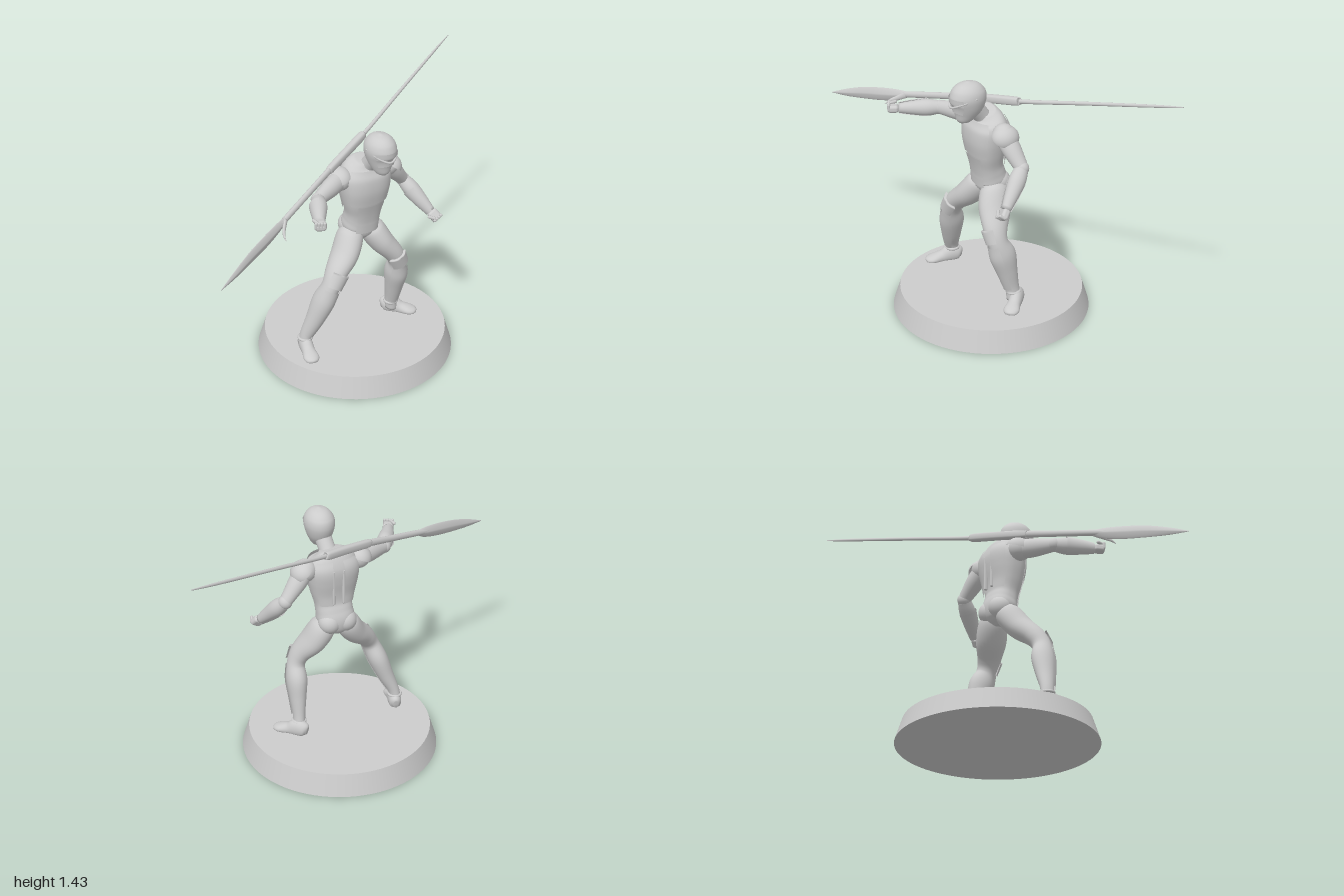
import * as THREE from 'three';
import { RoundedBoxGeometry } from 'three/addons/geometries/RoundedBoxGeometry.js';

const V = (x, y, z) => new THREE.Vector3(x, y, z);
const mat = new THREE.MeshStandardMaterial({ color: 0xcccccc });
const shellMat = new THREE.MeshStandardMaterial({ color: 0xcccccc, side: THREE.DoubleSide });
const FRONT = V(0, 0, 1), UP = V(0, 1, 0);

// Smooth loft through rows [x, y, z, halfSide, halfFront]; arc < 2PI gives an open shell centred on angle `mid`
function loft(rows, { face = FRONT, seg = 28, steps = 6, pow = 1, arc = 0, mid = 0, grow = 0, floor = -1 } = {}) {
  const path = new THREE.CatmullRomCurve3(rows.map(r => V(r[0], r[1], r[2])));
  const size = new THREE.CatmullRomCurve3(rows.map(r => V(r[3], r[4], 0)));
  path.curveType = size.curveType = 'catmullrom';
  const n = (rows.length - 1) * steps, cols = arc ? seg + 1 : seg;
  const pos = [], idx = [];
  const bend = v => Math.sign(v) * Math.abs(v) ** pow;
  for (let i = 0; i <= n; i++) {
    const c = path.getPoint(i / n), t = path.getTangent(i / n), s = size.getPoint(i / n);
    const side = t.clone().cross(face).normalize(), front = side.clone().cross(t);
    for (let j = 0; j < cols; j++) {
      const a = arc ? mid - arc / 2 + arc * j / seg : 2 * Math.PI * j / seg;
      const p = c.clone()
        .addScaledVector(front, (Math.max(s.y, 0.001) + grow) * bend(Math.cos(a)))
        .addScaledVector(side, (Math.max(s.x, 0.001) + grow) * bend(Math.sin(a)));
      pos.push(p.x, Math.max(p.y, floor), p.z);
    }
  }
  for (let i = 0; i < n; i++) for (let j = 0; j < seg; j++) {
    const k = (j + 1) % cols, a = i * cols, b = a + cols;
    idx.push(a + j, a + k, b + j, a + k, b + k, b + j);
  }
  if (!arc) { // end caps
    const c0 = pos.length / 3, p0 = path.getPoint(0), p1 = path.getPoint(1);
    pos.push(p0.x, Math.max(p0.y, floor), p0.z, p1.x, Math.max(p1.y, floor), p1.z);
    for (let j = 0; j < seg; j++) {
      const k = (j + 1) % seg;
      idx.push(c0, k, j, c0 + 1, n * cols + j, n * cols + k);
    }
  }
  const g = new THREE.BufferGeometry();
  g.setAttribute('position', new THREE.Float32BufferAttribute(pos, 3));
  g.setIndex(idx);
  g.computeVertexNormals();
  return g;
}

export function createModel() {
  const model = new THREE.Group();
  const add = (name, geo, m = mat, parent = model) => {
    const mesh = new THREE.Mesh(geo, m);
    mesh.name = name;
    parent.add(mesh);
    return mesh;
  };
  const plate = (name, rows, opts) => add(name, loft(rows, { grow: 0.006, ...opts }), shellMat);

  // Display base
  add('base', new THREE.CylinderGeometry(0.5, 0.538, 0.12, 80)).position.set(0.045, 0.06, 0);

  // Torso, from crotch to collar
  const torso = [
    [0.06, 0.695, 0.03, 0.02, 0.03], [0.06, 0.73, 0.025, 0.06, 0.07], [0.06, 0.78, 0.02, 0.1, 0.085],
    [0.063, 0.83, 0.03, 0.1, 0.08], [0.065, 0.88, 0.042, 0.102, 0.076], [0.066, 0.95, 0.05, 0.12, 0.087],
    [0.067, 1.03, 0.05, 0.136, 0.1], [0.068, 1.1, 0.045, 0.14, 0.1], [0.07, 1.15, 0.045, 0.115, 0.08],
    [0.075, 1.185, 0.055, 0.055, 0.05]];
  add('torso', loft(torso, { seg: 40, pow: 0.85 }));
  plate('chestPlate', torso.slice(5, 9), { arc: 2.1, pow: 0.85, grow: 0.008 });
  plate('abdomenPlate', torso.slice(2, 6), { arc: 1.3, pow: 0.85 });
  for (const s of [-1, 1]) {
    plate('backPlate', torso.slice(4, 9), { arc: 0.75, mid: Math.PI + s * 0.55, pow: 0.85, grow: 0.01 });
    const slot = add('backRib', new RoundedBoxGeometry(0.014, 0.2, 0.02, 3, 0.006));
    slot.position.set(0.067 + s * 0.028, 1.0, -0.046);
    const glute = add('glute', new THREE.SphereGeometry(0.062, 24, 16));
    glute.position.set(0.06 + s * 0.045, 0.775, -0.01);
  }

  // Neck and helmet
  add('neck', loft([[0.075, 1.13, 0.06, 0.055, 0.05], [0.08, 1.17, 0.085, 0.045, 0.045], [0.088, 1.23, 0.135, 0.046, 0.05]]));
  const head = [
    [0.09, 1.15, 0.205, 0.008, 0.01], [0.09, 1.165, 0.2, 0.034, 0.035], [0.09, 1.2, 0.184, 0.055, 0.064],
    [0.091, 1.245, 0.17, 0.073, 0.09], [0.091, 1.29, 0.165, 0.081, 0.1], [0.091, 1.33, 0.165, 0.072, 0.088],
    [0.091, 1.36, 0.165, 0.045, 0.056], [0.091, 1.374, 0.165, 0.006, 0.008]];
  add('helmet', loft(head, { seg: 36 }));
  plate('visor', head.slice(2, 5), { arc: 1.9, grow: 0.004 });
  const brow = new THREE.CatmullRomCurve3([V(0.013, 1.3, 0.155), V(0.035, 1.275, 0.235),
    V(0.091, 1.25, 0.266), V(0.147, 1.275, 0.235), V(0.169, 1.3, 0.155)]);
  add('browRidge', new THREE.TubeGeometry(brow, 30, 0.006, 8));

  // Legs, thigh to ankle
  const legs = {
    left: [[0.105, 0.78, 0.025, 0.045, 0.05], [0.13, 0.73, 0.03, 0.068, 0.08], [0.175, 0.65, 0.055, 0.066, 0.088],
      [0.235, 0.57, 0.085, 0.054, 0.068], [0.265, 0.5, 0.085, 0.048, 0.055], [0.272, 0.42, 0.057, 0.056, 0.07],
      [0.276, 0.32, 0.032, 0.045, 0.055], [0.28, 0.22, 0.008, 0.033, 0.04], [0.285, 0.15, -0.003, 0.033, 0.042]],
    right: [[0.015, 0.78, 0.025, 0.045, 0.05], [-0.01, 0.73, 0.035, 0.068, 0.08], [-0.065, 0.65, 0.07, 0.066, 0.085],
      [-0.14, 0.58, 0.105, 0.055, 0.068], [-0.185, 0.51, 0.118, 0.048, 0.055], [-0.22, 0.42, 0.095, 0.054, 0.066],
      [-0.262, 0.31, 0.075, 0.044, 0.052], [-0.3, 0.22, 0.055, 0.032, 0.038], [-0.312, 0.15, 0.048, 0.032, 0.04]]
  };
  for (const [name, rows] of Object.entries(legs)) {
    add(name + 'Leg', loft(rows));
    plate(name + 'KneePlate', rows.slice(3, 5), { arc: 2.0, grow: 0.012 });
    plate(name + 'ShinGuard', rows.slice(4, 8), { arc: 2.2, grow: 0.007 });
    const a = rows[8], ankle = new THREE.TorusGeometry(0.034, 0.008, 10, 28);
    const cuff = add(name + 'AnkleCuff', ankle);
    cuff.position.set(a[0] * 0.6 + rows[7][0] * 0.4, 0.19, a[2] * 0.6 + rows[7][2] * 0.4);
    cuff.rotation.x = Math.PI / 2;
  }

  // Boots, heel to toe, with flat soles on the base
  const boot = (name, hx, hz, tx, tz) => {
    const at = (k, y, a, b) => [hx + (tx - hx) * k, y, hz + (tz - hz) * k, a, b];
    add(name, loft([at(0, 0.145, 0.015, 0.025), at(0.1, 0.15, 0.033, 0.045), at(0.32, 0.15, 0.037, 0.052),
      at(0.55, 0.137, 0.036, 0.036), at(0.8, 0.13, 0.043, 0.025), at(0.95, 0.125, 0.03, 0.017),
      at(1, 0.122, 0.008, 0.008)], { face: UP, floor: 0.119 }));
  };
  boot('leftBoot', 0.255, -0.055, 0.395, 0.09);
  boot('rightBoot', -0.295, 0.0, -0.345, 0.2);

  // Arms: shoulder, elbow, wrist, with a fist on the end
  const arm = (name, s, e, w, face, padAt, padDir) => {
    const mix = (p, q, k, a, b) => [...p.clone().lerp(q, k).toArray(), a, b];
    add(name + 'Shoulder', new THREE.SphereGeometry(0.062, 28, 18)).position.copy(s);
    add(name + 'UpperArm', loft([mix(s, e, 0, 0.05, 0.052), mix(s, e, 0.4, 0.048, 0.052),
      mix(s, e, 0.8, 0.038, 0.042), mix(s, e, 1.08, 0.032, 0.034)], { face }));
    add(name + 'Elbow', new THREE.SphereGeometry(0.038, 20, 14)).position.copy(e);
    const fore = [mix(e, w, 0, 0.034, 0.036), mix(e, w, 0.3, 0.044, 0.046),
      mix(e, w, 0.65, 0.036, 0.038), mix(e, w, 1, 0.024, 0.026)];
    add(name + 'Forearm', loft(fore, { face }));
    plate(name + 'Bracer', fore.slice(1), { face, arc: 3.2, mid: Math.PI / 2 });

    // Shoulder pad
    const pad = add(name + 'ShoulderPad', new THREE.SphereGeometry(0.08, 32, 12, 0, Math.PI * 2, 0, 1.45), shellMat);
    pad.position.copy(padAt);
    pad.quaternion.setFromUnitVectors(UP, padDir.clone().normalize());
    pad.scale.set(0.85, 0.8, 0.95);

    // Fist
    const fist = new THREE.Group();
    fist.name = name + 'Fist';
    fist.position.copy(w);
    const d = w.clone().sub(e).normalize(), x = d.clone().cross(face).normalize();
    fist.quaternion.setFromRotationMatrix(new THREE.Matrix4().makeBasis(x, d, x.clone().cross(d)));
    model.add(fist);
    add('palm', new RoundedBoxGeometry(0.058, 0.06, 0.04, 4, 0.015), mat, fist).position.y = 0.03;
    for (let i = 0; i < 4; i++) {
      const f = add('finger', new THREE.CapsuleGeometry(0.0085, 0.026, 4, 10), mat, fist);
      f.position.set(-0.022 + i * 0.0147, 0.052, 0.012);
      f.rotation.x = Math.PI / 2;
    }
    const thumb = add('thumb', new THREE.CapsuleGeometry(0.009, 0.03, 4, 10), mat, fist);
    thumb.position.set(0.024, 0.03, 0.024);
    thumb.rotation.z = 0.6;
  };
  arm('left', V(0.225, 1.095, 0.03), V(0.35, 0.95, -0.005), V(0.44, 0.79, 0.14), FRONT,
    V(0.237, 1.085, 0.03), V(0.6, 0.8, 0));
  arm('right', V(-0.085, 1.105, 0.05), V(-0.27, 1.085, 0.14), V(-0.375, 1.08, 0.33), UP,
    V(-0.085, 1.105, 0.045), V(-0.35, 0.94, 0));

  // Polearm slung across the back: tapered shaft, sleeve, blade and barb
  const pole = [[1, 1.43, -0.52, 0.002, 0.003], [0.85, 1.395, -0.447, 0.006, 0.008], [0.5, 1.312, -0.272, 0.009, 0.01],
    [0.17, 1.232, -0.106, 0.011, 0.012], [-0.1, 1.183, 0.026, 0.014, 0.019], [-0.3, 1.135, 0.118, 0.014, 0.018],
    [-0.5, 1.085, 0.21, 0.014, 0.017], [-0.58, 1.064, 0.246, 0.012, 0.016]];
  add('shaft', loft(pole, { face: UP, seg: 16 }));
  add('shaftSleeve', loft([[0.16, 1.23, -0.101, 0.012, 0.013], [0.145, 1.227, -0.094, 0.02, 0.022],
    [0.02, 1.205, -0.032, 0.02, 0.023], [-0.13, 1.176, 0.04, 0.018, 0.022], [-0.15, 1.171, 0.05, 0.012, 0.015]],
  { face: UP, seg: 16, pow: 0.7 }));
  add('blade', loft([[-0.5, 1.087, 0.21, 0.012, 0.014], [-0.56, 1.067, 0.238, 0.014, 0.03],
    [-0.66, 1.043, 0.284, 0.014, 0.037], [-0.78, 1.016, 0.337, 0.012, 0.034], [-0.9, 0.984, 0.391, 0.009, 0.021],
    [-1, 0.957, 0.435, 0.001, 0.002]], { face: UP, seg: 24, pow: 1.5 }));
  add('bladeBarb', loft([[-0.51, 1.08, 0.22, 0.01, 0.018], [-0.54, 1.058, 0.255, 0.009, 0.014],
    [-0.56, 1.042, 0.29, 0.006, 0.009], [-0.567, 1.027, 0.32, 0.001, 0.001]], { face: UP, seg: 14 }));
  return model;
}
